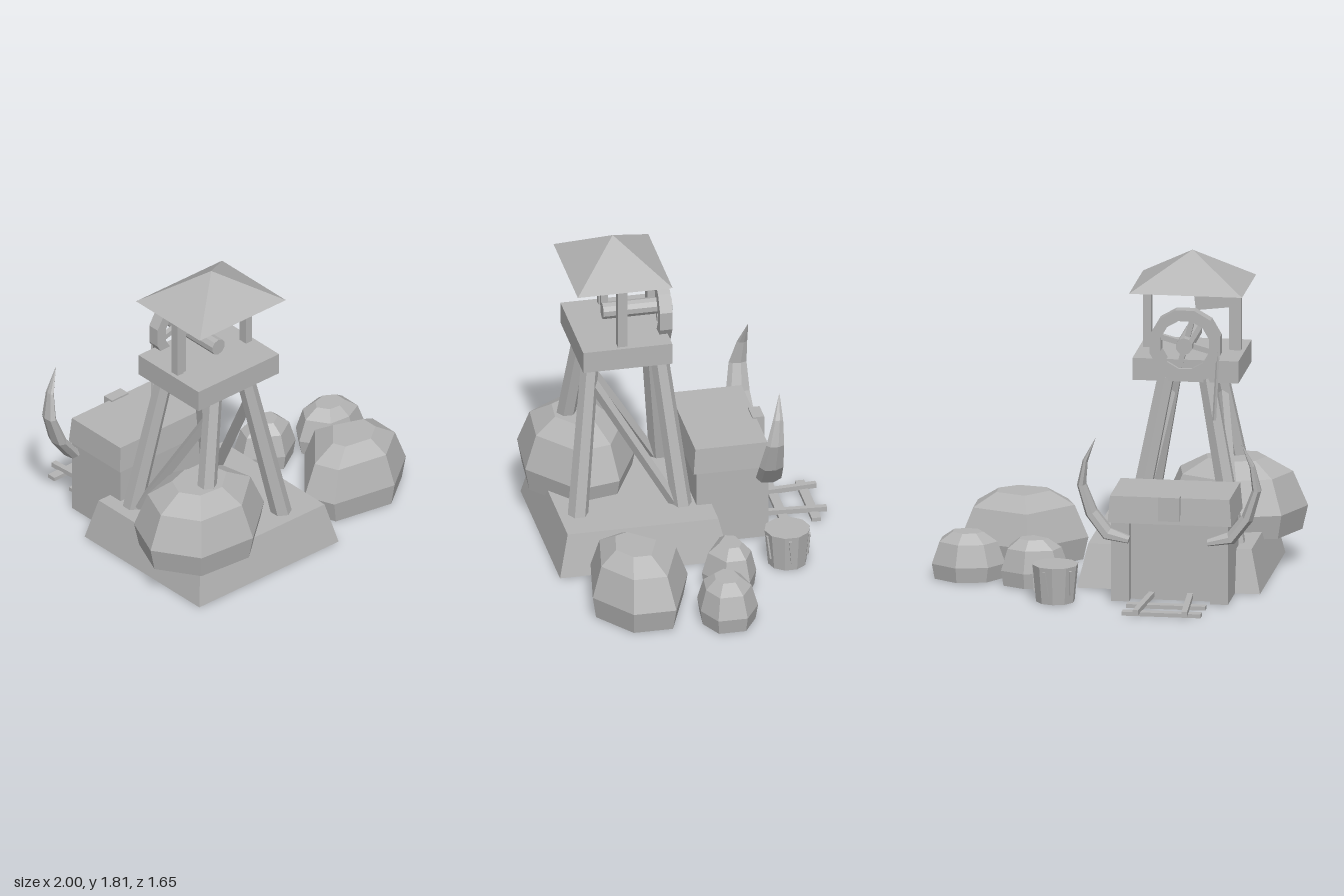
import * as THREE from 'three';
import { ConvexGeometry } from 'three/addons/geometries/ConvexGeometry.js';

const stone = new THREE.MeshStandardMaterial({ color: 0xb4b4b4, flatShading: true, side: THREE.DoubleSide });
stone.name = 'plain grey';
const V = (x, y, z) => new THREE.Vector3(x, y, z);

export function createModel() {
  const model = new THREE.Group();
  model.name = 'mineTower';

  function add(name, geometry, parent = model) {
    const mesh = new THREE.Mesh(geometry, stone);
    mesh.name = name;
    parent.add(mesh);
    return mesh;
  }
  // Box given by its limits; the top edge can be drawn in by an inset
  function box(name, x0, x1, y0, y1, z0, z1, inset = 0, parent = model) {
    const g = new THREE.BoxGeometry(x1 - x0, y1 - y0, z1 - z0);
    const p = g.attributes.position;
    for (let i = 0; i < p.count; i++) {
      if (p.getY(i) > 0) {
        p.setX(i, p.getX(i) - Math.sign(p.getX(i)) * inset);
        p.setZ(i, p.getZ(i) - Math.sign(p.getZ(i)) * inset);
      }
    }
    const m = add(name, g, parent);
    m.position.set((x0 + x1) / 2, (y0 + y1) / 2, (z0 + z1) / 2);
    return m;
  }
  // Straight bar between two points
  function bar(name, a, b, rBottom, rTop, sides, parent = model) {
    const d = b.clone().sub(a);
    const m = add(name, new THREE.CylinderGeometry(rTop, rBottom, d.length(), sides), parent);
    m.position.copy(a).add(b).multiplyScalar(0.5);
    m.quaternion.setFromUnitVectors(V(0, 1, 0), d.normalize());
    return m;
  }

  // Sloped base, open underneath
  const base = box('base', -0.84, 0.18, 0, 0.24, -0.19, 0.77, 0.055);
  const idx = Array.from(base.geometry.index.array);
  idx.splice(18, 6);
  base.geometry.setIndex(idx);

  // Tower: legs, side braces, platform
  const tower = new THREE.Group();
  tower.name = 'tower';
  model.add(tower);
  const cx = -0.385;
  for (const s of [-1, 1]) {
    bar('frontLeg', V(cx + s * 0.33, 0.01, 0.635), V(cx + s * 0.115, 1.14, 0.5), 0.06, 0.05, 6, tower);
    bar('rearLeg', V(cx + s * 0.33, 0.01, 0), V(cx + s * 0.115, 1.14, 0.12), 0.06, 0.05, 6, tower);
    bar('brace', V(cx + s * 0.28, 0.24, 0.06), V(cx + s * 0.145, 0.98, 0.5), 0.032, 0.032, 4, tower);
    box('roofPost', cx + s * 0.25 - 0.022, cx + s * 0.25 + 0.022, 1.24, 1.62, 0.327, 0.38, 0, tower);
  }
  box('platform', -0.68, -0.09, 1.125, 1.25, 0.078, 0.58, 0, tower);

  // Pyramid roof
  add('roof', new ConvexGeometry([
    V(-0.70, 1.612, 0.08), V(-0.07, 1.612, 0.08), V(-0.07, 1.612, 0.615),
    V(-0.70, 1.612, 0.615), V(cx, 1.808, 0.35),
  ]), tower);

  // Crooked plank and side strip under the roof
  box('plank', -0.6, -0.4, 1.48, 1.56, 0.335, 0.372, 0, tower).rotation.z = -0.12;
  box('plankStrip', -0.613, -0.59, 1.25, 1.595, 0.335, 0.372, 0, tower);

  // Winding wheel with axle and spokes
  const wheel = new THREE.Group();
  wheel.name = 'windingWheel';
  wheel.position.set(cx, 1.338, 0.09);
  model.add(wheel);
  const poly = (r) => Array.from({ length: 12 }, (_, i) =>
    new THREE.Vector2(r * Math.cos(i * Math.PI / 6 + 0.26), r * Math.sin(i * Math.PI / 6 + 0.26)));
  const rim = new THREE.Shape(poly(0.203));
  rim.holes.push(new THREE.Path(poly(0.14)));
  const rimMesh = add('rim', new THREE.ExtrudeGeometry(rim, { depth: 0.07, bevelEnabled: false }), wheel);
  rimMesh.position.z = -0.035;
  for (let i = 0; i < 2; i++) {
    const spoke = add('spokes', new THREE.BoxGeometry(0.3, 0.03, 0.03), wheel);
    spoke.rotation.z = 0.26 + i * Math.PI / 2;
  }
  bar('axle', V(0, 0, -0.068), V(0, 0, 0.32), 0.047, 0.047, 10, wheel);
  bar('rope', V(-0.57, 1.33, 0.065), V(-0.55, 0.92, 0.045), 0.009, 0.011, 4);

  // Mine entrance: side walls, recessed door, lid and keystone
  const hut = new THREE.Group();
  hut.name = 'mineEntrance';
  model.add(hut);
  box('wall', -0.70, -0.60, 0, 0.45, -0.455, -0.05, 0, hut);
  box('wall', -0.15, -0.05, 0, 0.45, -0.455, -0.05, 0, hut);
  box('door', -0.60, -0.15, 0, 0.45, -0.39, -0.05, 0, hut);
  box('lid', -0.72, -0.03, 0.445, 0.595, -0.46, -0.03, 0.012, hut);
  box('keystone', -0.435, -0.315, 0.47, 0.605, -0.49, -0.425, 0, hut);

  // Curved horns: a cylinder bent along a path, flattened and tapering to a tip
  const path = [V(0.22, 0.36, -0.49), V(0.345, 0.385, -0.455), V(0.435, 0.5, -0.45),
    V(0.488, 0.66, -0.46), V(0.465, 0.8, -0.48), V(0.405, 0.935, -0.5)];
  const wide = [0.04, 0.075, 0.07, 0.052, 0.03, 0.001];
  const horn = new THREE.CylinderGeometry(1, 1, 1, 7, 5);
  const hp = horn.attributes.position;
  for (let i = 0; i < hp.count; i++) {
    const k = Math.round((hp.getY(i) + 0.5) * 5);
    const t = path[Math.min(k + 1, 5)].clone().sub(path[Math.max(k - 1, 0)]).setZ(0).normalize();
    const a = hp.getX(i) * wide[k] * 0.5;
    hp.setXYZ(i, path[k].x + t.y * a, path[k].y - t.x * a, path[k].z + hp.getZ(i) * wide[k]);
  }
  for (const s of [-1, 1]) {
    const m = add('horn', horn, hut);
    m.position.x = -0.375;
    m.scale.x = s;
  }

  // Short track leading out of the entrance
  const track = new THREE.Group();
  track.name = 'track';
  model.add(track);
  for (const z of [-0.75, -0.575]) box('sleeper', -0.595, -0.155, 0, 0.022, z - 0.026, z + 0.026, 0, track);
  for (const s of [-1, 1]) {
    const rail = box('rail', -0.375 + s * 0.122 - 0.016, -0.375 + s * 0.122 + 0.016, 0.018, 0.046, -0.825, -0.4, 0, track);
    rail.rotation.y = -s * 0.07;
  }

  // Barrel with thin slanted slats
  const barrel = new THREE.Group();
  barrel.name = 'barrel';
  barrel.position.set(0.255, 0, -0.495);
  model.add(barrel);
  add('tub', new THREE.CylinderGeometry(0.128, 0.108, 0.21, 10), barrel).position.y = 0.105;
  for (let i = 0; i < 5; i++) {
    const arm = new THREE.Group();
    arm.name = 'slatArm';
    arm.rotation.y = i * Math.PI * 0.4 + 0.3;
    barrel.add(arm);
    const slat = add('slat', new THREE.BoxGeometry(0.016, 0.14, 0.012), arm);
    slat.position.set(0, 0.12, 0.118);
    slat.rotation.set(0.09, 0, 0.1);
  }

  // Boulders: an irregular outline repeated at four heights
  function boulder(outline, y0, h) {
    const n = outline.length;
    const mx = outline.reduce((s, p) => s + p[0], 0) / n;
    const mz = outline.reduce((s, p) => s + p[1], 0) / n;
    const pts = [];
    for (const [f, k] of [[0, 0.92], [0.33, 1], [0.8, 0.79], [1, 0.42]]) {
      for (const [x, z] of outline) pts.push(V(mx + (x - mx) * k, y0 + h * f, mz + (z - mz) * k));
    }
    add('boulder', new ConvexGeometry(pts));
  }
  boulder([[-1, 0.545], [-0.89, 0.28], [-0.58, 0.18], [-0.25, 0.34], [-0.2, 0.58], [-0.49, 0.82], [-0.84, 0.79]], 0.195, 0.41);
  boulder([[0.21, 0.45], [0.5, 0.12], [0.9, 0.27], [0.9, 0.51], [0.66, 0.69], [0.28, 0.62]], 0, 0.385);
  boulder([[0.235, -0.1], [0.28, -0.22], [0.465, -0.275], [0.6, -0.21], [0.6, -0.07], [0.44, 0.027]], 0, 0.26);
  boulder([[0.6, -0.04], [0.68, -0.16], [0.855, -0.2], [1, -0.11], [1, 0.055], [0.86, 0.125], [0.7, 0.11]], 0, 0.26);

  return model;
}
